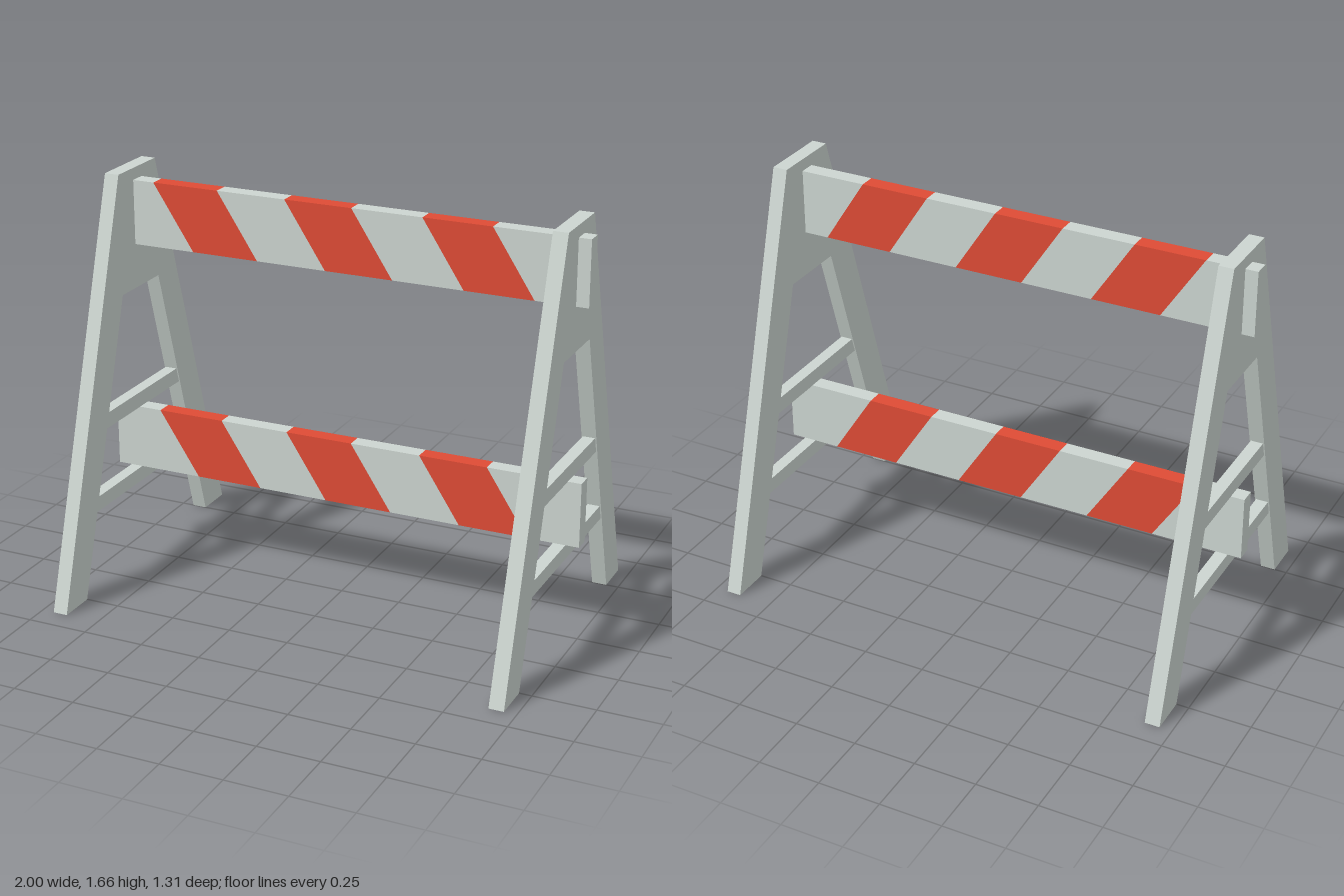
import * as THREE from 'three';

const grey = new THREE.MeshStandardMaterial({ color: 0xccd5d0, side: THREE.DoubleSide });
grey.name = 'pale grey';
const red = new THREE.MeshStandardMaterial({ color: 0xde4b35 });
red.name = 'warning red';

// Prism with a flat outline, extruded along +z
function prism(points, depth) {
  const shape = new THREE.Shape(points.map(([x, y]) => new THREE.Vector2(x, y)));
  return new THREE.ExtrudeGeometry(shape, { depth, bevelEnabled: false });
}

// Prism whose outline is given as (-z, y), centred on x = 0
function sidePrism(points, width) {
  return prism(points, width).translate(0, 0, -width / 2).rotateY(Math.PI / 2);
}

// Removes the triangles lying on the ground, leaving the feet hollow
function openFeet(geometry) {
  const p = geometry.attributes.position;
  const kept = [];
  for (let i = 0; i < p.count; i += 3) {
    if (Math.max(p.getY(i), p.getY(i + 1), p.getY(i + 2)) < 1e-4) continue;
    for (let k = i; k < i + 3; k++) kept.push(p.getX(k), p.getY(k), p.getZ(k));
  }
  const open = new THREE.BufferGeometry();
  open.setAttribute('position', new THREE.Float32BufferAttribute(kept, 3));
  open.computeVertexNormals();
  return open;
}

function add(parent, name, geometry, material) {
  const mesh = new THREE.Mesh(geometry, material);
  mesh.name = name;
  parent.add(mesh);
}

// A-shaped end frame with two crossbars
function makeFrame(name, x) {
  const frame = new THREE.Group();
  frame.name = name;
  const outline = [
    [-0.655, 0], [-0.5, 0], [-0.135, 1.17], [0.15, 1.17],
    [0.5, 0], [0.655, 0], [0.15, 1.66], [-0.135, 1.66],
  ];
  add(frame, 'legs', openFeet(sidePrism(outline, 0.06)), grey);

  // Crossbars end on the sloping inner edges of the legs
  const near = (y) => -0.5 + (0.365 * y) / 1.17;
  const far = (y) => 0.5 - (0.35 * y) / 1.17;
  for (const [label, y0, y1] of [['lowerCrossbar', 0.335, 0.395], ['upperCrossbar', 0.657, 0.72]]) {
    const bar = [[near(y0), y0], [far(y0), y0], [far(y1), y1], [near(y1), y1]];
    add(frame, label, sidePrism(bar, 0.05), grey);
  }
  frame.position.x = x;
  return frame;
}

// Striped board made of slanted grey and red sections
function makeBoard(name, y) {
  const board = new THREE.Group();
  board.name = name;
  const height = 0.262, slant = 0.17;
  const cuts = [-0.8, -0.52, -0.23, 0.05, 0.34, 0.62]; // along the top edge
  const top = [-1, ...cuts, 1];
  const bottom = [-1, ...cuts.map((c) => c + slant), 1];
  for (let i = 0; i < top.length - 1; i++) {
    const section = [[bottom[i], 0], [bottom[i + 1], 0], [top[i + 1], height], [top[i], height]];
    const striped = i % 2 === 1;
    add(board, striped ? 'redStripe' : 'greySection', prism(section, 0.065), striped ? red : grey);
  }
  board.position.set(0, y, -0.041);
  return board;
}

export function createModel() {
  const model = new THREE.Group();
  model.name = 'barricade';
  model.add(
    makeFrame('leftFrame', 0.92),
    makeFrame('rightFrame', -0.92),
    makeBoard('upperBoard', 1.35),
    makeBoard('lowerBoard', 0.396),
  );
  return model;
}
